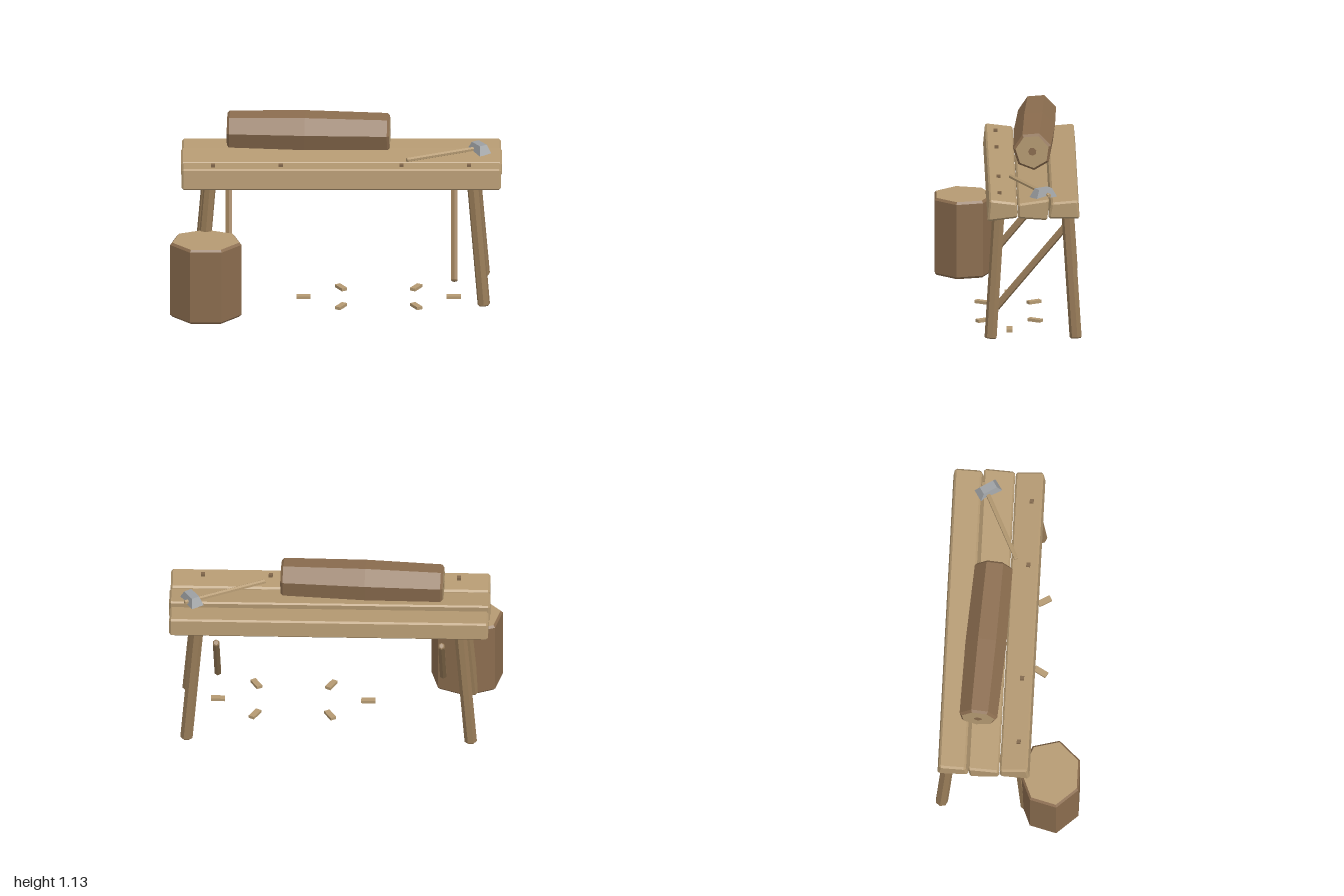
import * as THREE from 'three';

const mat = (name, color) => new THREE.MeshStandardMaterial({ name, color, flatShading: true });

export function createModel() {
  const paleWood = mat('paleWood', 0xb59a72);
  const bark = mat('bark', 0x8a6c4e);
  const poleWood = mat('poleWood', 0x967a57);
  const pegWood = mat('pegWood', 0x80664a);
  const steel = mat('steel', 0x9c9fa2);

  const model = new THREE.Group();
  model.name = 'woodworkBench';

  const add = (name, geometry, material, parent = model) => {
    const mesh = new THREE.Mesh(geometry, material);
    mesh.name = name;
    parent.add(mesh);
    return mesh;
  };
  // faceted turned shape from [radius, height] points, bottom to top
  const turned = (points, sides, start = 0) =>
    new THREE.LatheGeometry(points.map(([r, y]) => new THREE.Vector2(r, y)), sides, start);

  // chamfered pole between two points
  const pole = (name, from, to, r, sides, material, c = 0.007) => {
    const a = new THREE.Vector3(...from), d = new THREE.Vector3(...to).sub(a);
    const h = d.length();
    const mesh = add(name, turned([[0, 0], [r - c, 0], [r, c], [r, h - c], [r - c, h], [0, h]], sides), material);
    mesh.position.copy(a);
    mesh.quaternion.setFromUnitVectors(new THREE.Vector3(0, 1, 0), d.normalize());
    return mesh;
  };

  // bench top: three uneven planks, corners given as [z, y]
  const plank = (name, corners, x0, x1) => {
    const cut = 0.01, bevel = 0.012;
    const pts = corners.map(([z, y]) => new THREE.Vector2(-z, y));
    const outline = [];
    pts.forEach((p, i) => {
      for (const q of [pts[(i + 3) % 4], pts[(i + 1) % 4]]) {
        outline.push(p.clone().add(q.clone().sub(p).setLength(cut)));
      }
    });
    const geometry = new THREE.ExtrudeGeometry(new THREE.Shape(outline), {
      depth: x1 - x0 - 2 * bevel, bevelEnabled: true, bevelSegments: 1,
      bevelThickness: bevel, bevelSize: bevel, bevelOffset: -bevel,
    });
    geometry.rotateY(Math.PI / 2).translate(x0 + bevel, 0, 0);
    add(name, geometry, paleWood);
  };
  plank('frontPlank', [[0.137, 0.746], [-0.043, 0.768], [-0.041, 0.859], [0.124, 0.879]], -0.927, 0.985);
  plank('middlePlank', [[-0.046, 0.766], [-0.222, 0.754], [-0.232, 0.882], [-0.046, 0.855]], -0.932, 0.99);
  plank('backPlank', [[-0.228, 0.764], [-0.416, 0.762], [-0.406, 0.875], [-0.246, 0.861]], -0.925, 0.985);

  // splayed legs and diagonal braces
  const midX = 0.03, midZ = -0.14;
  for (const sx of [-1, 1]) {
    for (const sz of [-1, 1]) {
      pole('leg', [midX + sx * 0.852, 0.003, midZ + sz * 0.255],
        [midX + sx * 0.786, 0.79, midZ + sz * 0.205], 0.038, 7, poleWood);
    }
    pole('brace', [midX + sx * 0.675, 0.145, 0.083], [midX + sx * 0.675, 0.68, -0.362], 0.022, 6, poleWood);
  }

  // pegs in the front plank
  for (const x of [-0.74, -0.334, 0.388, 0.794]) {
    add('peg', new THREE.BoxGeometry(0.024, 0.03, 0.024), pegWood).position.set(x, 0.872, 0.063);
  }

  // log lying on the bench, built upright and then laid along x
  const log = new THREE.Group();
  log.name = 'log';
  const half = 0.487, rEnd = 0.102, rSide = 0.117, tip = half - 0.014;
  const start = THREE.MathUtils.degToRad(95);
  add('logBark', turned([[rEnd, -half], [rSide, -tip], [0.126, -0.02], [rSide, tip], [rEnd, half]], 7, start), bark, log);
  for (const s of [-1, 1]) {
    const disc = (r, y) => turned(s < 0 ? [[0, -y], [r, -y]] : [[r, y], [0, y]], 7, start);
    add('logEnd', disc(rEnd, half), paleWood, log);
    add('logHeart', disc(0.025, half + 0.002), bark, log);
  }
  log.rotation.set(0, -0.046, -Math.PI / 2);
  log.position.set(-0.167, 1.012, -0.164);
  model.add(log);

  // chopping block
  const block = new THREE.Group();
  block.name = 'choppingBlock';
  const R = 0.219, H = 0.475, c = 0.014;
  add('blockBark', turned([[0, 0], [R - c, 0], [R, c], [R, H - c], [R - c, H]], 7, Math.PI / 7), bark, block);
  add('blockTop', turned([[R - c, H], [0, H]], 7, Math.PI / 7), paleWood, block);
  block.scale.z = 0.863;
  block.position.set(-0.783, 0, 0.258);
  model.add(block);

  // hand axe: handle and wedge-shaped head
  pole('axeHandle', [0.42, 0.886, -0.01], [0.897, 0.884, -0.236], 0.014, 6, paleWood, 0.003);
  const headGeometry = new THREE.BoxGeometry(0.08, 0.053, 0.145);
  const p = headGeometry.attributes.position;
  for (let i = 0; i < p.count; i++) {
    if (p.getY(i) > 0) p.setXYZ(i, p.getX(i) * 0.62, p.getY(i), p.getZ(i) * 0.62);
  }
  const head = add('axeHead', headGeometry, steel);
  head.position.set(0.855, 0.894, -0.2);
  head.rotation.y = 0.56;

  // ring of wood chips on the ground
  for (let i = 0; i < 6; i++) {
    const a = i * Math.PI / 3;
    const chip = add('woodChip', new THREE.BoxGeometry(0.085, 0.018, 0.036), paleWood);
    chip.position.set(0.252 + 0.45 * Math.cos(a), 0.013, 0.18 * Math.sin(a));
    chip.rotation.y = -a;
  }

  return model;
}
